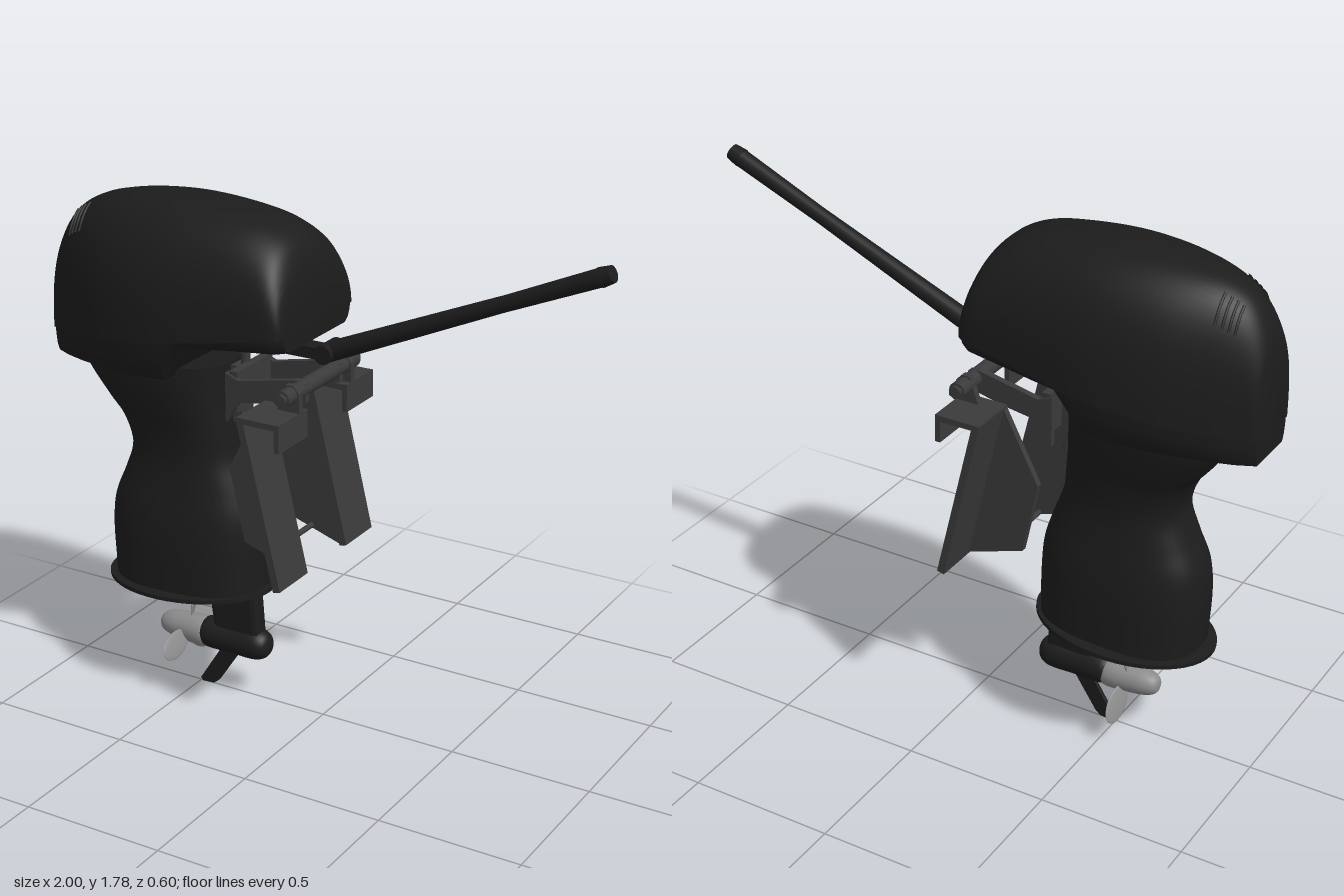
import * as THREE from 'three';
import { toCreasedNormals } from 'three/addons/utils/BufferGeometryUtils.js';

const V = (x, y, z) => new THREE.Vector3(x, y, z);
const black = new THREE.MeshStandardMaterial({ color: 0x1c1c1c });
const dark = new THREE.MeshStandardMaterial({ color: 0x3a3a3a });
const metal = new THREE.MeshStandardMaterial({ color: 0x8c8c8c });

// Skin over rings of points (counter-clockwise about the advance direction), capped at both ends
function loft(rings, crease = 0.6) {
  const n = rings[0].length, pos = [], idx = [];
  rings.forEach(r => r.forEach(p => pos.push(p.x, p.y, p.z)));
  for (let i = 0; i < rings.length - 1; i++) for (let j = 0; j < n; j++) {
    const a = i * n + j, b = i * n + (j + 1) % n;
    idx.push(a, b, b + n, a, b + n, a + n);
  }
  [0, rings.length - 1].forEach((r, end) => {
    const c = rings[r].reduce((s, p) => s.add(p), V(0, 0, 0)).divideScalar(n);
    const k = pos.length / 3;
    pos.push(c.x, c.y, c.z);
    for (let j = 0; j < n; j++) {
      const a = r * n + j, b = r * n + (j + 1) % n;
      end ? idx.push(k, a, b) : idx.push(k, b, a);
    }
  });
  const g = new THREE.BufferGeometry();
  g.setAttribute('position', new THREE.Float32BufferAttribute(pos, 3));
  g.setIndex(idx);
  return toCreasedNormals(g, crease);
}

const power = (v, n) => Math.sign(v) * Math.pow(Math.abs(v), 2 / n);

// Cowl stations along x: x, top height, half width
const stations = [
  [-1, 1.48, 0.09], [-0.985, 1.57, 0.12], [-0.93, 1.67, 0.15], [-0.85, 1.727, 0.19], [-0.7, 1.765, 0.25],
  [-0.5, 1.78, 0.282], [-0.3, 1.767, 0.272], [-0.17, 1.742, 0.258], [-0.085, 1.695, 0.25],
  [-0.045, 1.63, 0.24], [-0.026, 1.55, 0.225], [-0.02, 1.47, 0.2],
].map(s => V(...s));
const cowlCurve = new THREE.CatmullRomCurve3(stations);
const seam = x => 1.27 + (x + 1) * 0.16;
const cowlPoint = (s, a, grow = 1) => V(s.x,
  seam(s.x) + (s.y - seam(s.x)) * power(Math.cos(a), 2.5) * grow, s.z * power(Math.sin(a), 2.5) * grow);

function upperCowl() {
  const rings = cowlCurve.getPoints(66).map(s =>
    Array.from({ length: 37 }, (_, i) => cowlPoint(s, (i / 36 - 0.5) * Math.PI)));
  return loft(rings, 0.7);
}

function lowerCowl() {
  // x, bottom height, half width
  const rows = [[-0.99, 1.18, 0.11], [-0.93, 1.183, 0.15], [-0.85, 1.188, 0.19], [-0.7, 1.197, 0.25],
    [-0.58, 1.203, 0.273], [-0.46, 1.215, 0.281], [-0.42, 1.28, 0.28], [-0.385, 1.338, 0.278],
    [-0.3, 1.346, 0.272], [-0.17, 1.358, 0.258], [-0.06, 1.366, 0.245], [-0.022, 1.37, 0.215]];
  const half = [[0.975, 0], [0.96, 0.35], [0.91, 0.75], [0.82, 1]];
  return loft(rows.map(([x, b, w]) => {
    const top = seam(x) + 0.002;
    const side = half.map(([k, t]) => V(x, top + (b - top) * t, w * k));
    return [...side, ...side.map(p => V(p.x, p.y, -p.z)).reverse()];
  }), 0.55);
}

function legHousing() {
  // height, rear x, front x, half width
  const curve = [[1.24, -0.9, -0.33, 0.2], [1.18, -0.88, -0.33, 0.195], [1.08, -0.81, -0.327, 0.175],
    [1, -0.75, -0.32, 0.155], [0.9, -0.722, -0.31, 0.145], [0.8, -0.755, -0.275, 0.153], [0.7, -0.797, -0.245, 0.168],
    [0.6, -0.808, -0.236, 0.177], [0.41, -0.8, -0.235, 0.18]].reverse();
  const side = k => new THREE.CatmullRomCurve3(curve.map(r => V(r[k], r[0], r[3]))).getPoints(40);
  const rear = side(1), front = side(2);
  return loft(rear.map((r, i) => Array.from({ length: 40 }, (_, j) => {
    const a = j / 40 * Math.PI * 2, f = front[i];
    return V((r.x + f.x) / 2 + (f.x - r.x) / 2 * power(Math.sin(a), 2.6), r.y, r.z * power(Math.cos(a), 2.6));
  })), 0.7);
}

// Flat outline in x,y given a thickness centred on z
function slab(points, depth, bevel = 0) {
  const g = new THREE.ExtrudeGeometry(new THREE.Shape(points.map(p => new THREE.Vector2(...p))), {
    depth: depth - 2 * bevel, bevelEnabled: bevel > 0, bevelSize: bevel, bevelThickness: bevel, bevelOffset: -bevel, bevelSegments: 2 });
  return g.translate(0, 0, -depth / 2 + bevel);
}

export function createModel() {
  const model = new THREE.Group();
  const add = (name, geo, mat, x = 0, y = 0, z = 0, parent = model) => {
    const m = new THREE.Mesh(geo, mat);
    m.name = name;
    m.position.set(x, y, z);
    parent.add(m);
    return m;
  };
  const box = (name, w, h, d, x, y, z, mat = dark) => add(name, new THREE.BoxGeometry(w, h, d), mat, x, y, z);
  const rod = (name, a, b, r0, r1, mat = dark, seg = 20) => {
    const d = b.clone().sub(a), c = a.clone().add(b).multiplyScalar(0.5);
    const m = add(name, new THREE.CylinderGeometry(r1, r0, d.length(), seg), mat, c.x, c.y, c.z);
    m.quaternion.setFromUnitVectors(V(0, 1, 0), d.normalize());
    return m;
  };

  // Engine cover
  add('upperCowl', upperCowl(), black);
  add('lowerCowl', lowerCowl(), black);
  for (const s of [-1, 1]) {
    for (let k = 0; k < 4; k++) {
      const st = cowlCurve.getPoint((2.35 + k * 0.22) / 11);
      const path = [0.3, 0.45, 0.6, 0.75].map(a => cowlPoint(st, a * s, 1.003));
      add('ventRib', new THREE.TubeGeometry(new THREE.CatmullRomCurve3(path), 12, 0.005, 6), black);
    }
  }

  // Leg, splash plate and gearcase
  add('legHousing', legHousing(), black);
  const plate = add('cavitationPlate', new THREE.CylinderGeometry(1, 1, 0.014, 48), black, -0.525, 0.41, 0);
  plate.scale.set(0.315, 1, 0.222);
  plate.rotation.z = 0.045;
  add('strut', slab([[-0.45, 0.42], [-0.42, 0.2], [-0.24, 0.2], [-0.255, 0.42]], 0.07, 0.02), black);
  const profile = pts => new THREE.LatheGeometry(new THREE.SplineCurve(pts.map(p => new THREE.Vector2(...p))).getPoints(30), 32);
  const gearcase = add('gearcase', profile([[0, -0.21], [0.03, -0.217], [0.048, -0.235], [0.057, -0.27], [0.056, -0.35],
    [0.052, -0.47], [0, -0.472]].map(([r, y]) => [r, -y]).map(([r, y]) => [r, -y]).reverse()), black, 0, 0.205, 0);
  gearcase.rotation.z = -Math.PI / 2;
  add('skeg', slab([[-0.4, 0.17], [-0.5, 0.012], [-0.49, 0.001], [-0.445, 0.004], [-0.425, 0.02], [-0.325, 0.17]], 0.014, 0.003), black);

  // Propeller
  const propeller = new THREE.Group();
  propeller.name = 'propeller';
  propeller.position.set(-0.54, 0.2, 0);
  model.add(propeller);
  const hub = add('propellerHub', profile([[0, -0.118], [0.025, -0.112], [0.041, -0.085], [0.05, -0.03], [0.052, 0.075], [0, 0.076]]),
    metal, 0, 0, 0, propeller);
  hub.rotation.z = -Math.PI / 2;
  for (let i = 0; i < 3; i++) {
    const arm = new THREE.Group();
    arm.rotation.x = -0.23 + i * Math.PI * 2 / 3;
    propeller.add(arm);
    const blade = add('propellerBlade', new THREE.SphereGeometry(1, 24, 14), metal, 0, 0.102, 0, arm);
    blade.scale.set(0.006, 0.07, 0.042);
    blade.rotation.y = 0.4;
  }

  // Clamp brackets: sloped plate, inner web, top shelf with lip
  for (const s of [-1, 1]) {
    add('clampPlate', slab([[-0.145, 1.17], [-0.12, 1.17], [0.016, 0.595], [-0.01, 0.588]], 0.175), dark, 0, 0, s * 0.213);
    add('clampWeb', slab([[-0.14, 1.17], [-0.27, 0.92], [-0.215, 0.662], [0.005, 0.59]], 0.022), dark, 0, 0, s * 0.137);
    box('clampShelf', 0.155, 0.02, 0.175, -0.062, 1.162, s * 0.213);
    box('clampLip', 0.018, 0.095, 0.175, 0.007, 1.125, s * 0.213);
    add('pivotEar', slab([[-0.07, 1.16], [0.015, 1.16], [0.015, 1.24], [-0.005, 1.262], [-0.035, 1.262]], 0.022), dark, 0, 0, s * 0.165);
    rod('pivotNut', V(-0.018, 1.23, s * 0.17), V(-0.018, 1.23, s * 0.24), 0.022, 0.022, dark, 6);
    // Swivel arm side plate
    add('swivelArm', slab([[-0.3, 1.235], [-0.25, 1.215], [-0.03, 1.26], [0.005, 1.25], [0.005, 1.19],
      [-0.12, 1.16], [-0.25, 1.14], [-0.3, 1.06]], 0.022), dark, 0, 0, s * 0.108);
  }
  rod('tiltTube', V(-0.018, 1.23, -0.225), V(-0.018, 1.23, 0.225), 0.028, 0.028);
  rod('lowerTieRod', V(-0.12, 0.64, -0.14), V(-0.12, 0.64, 0.14), 0.01, 0.01);
  box('swivelBlock', 0.03, 0.14, 0.22, -0.275, 1.17, 0);

  // Steering post, arm and tiller
  rod('steeringPost', V(-0.295, 0.995, 0), V(-0.295, 1.34, 0), 0.016, 0.016);
  box('postMount', 0.05, 0.2, 0.07, -0.315, 1.13, 0);
  box('steeringArm', 0.33, 0.04, 0.06, -0.145, 1.325, 0, black);
  rod('tillerPivot', V(0.025, 1.332, -0.05), V(0.025, 1.332, 0.05), 0.032, 0.032, black);
  rod('tillerArm', V(0.02, 1.328, 0), V(0.65, 1.601, 0), 0.034, 0.026, black);
  rod('tillerGrip', V(0.63, 1.592, 0), V(0.95, 1.731, 0), 0.026, 0.03, black);
  rod('gripCap', V(0.95, 1.731, 0), V(0.988, 1.748, 0), 0.032, 0.027, black);
  return model;
}
